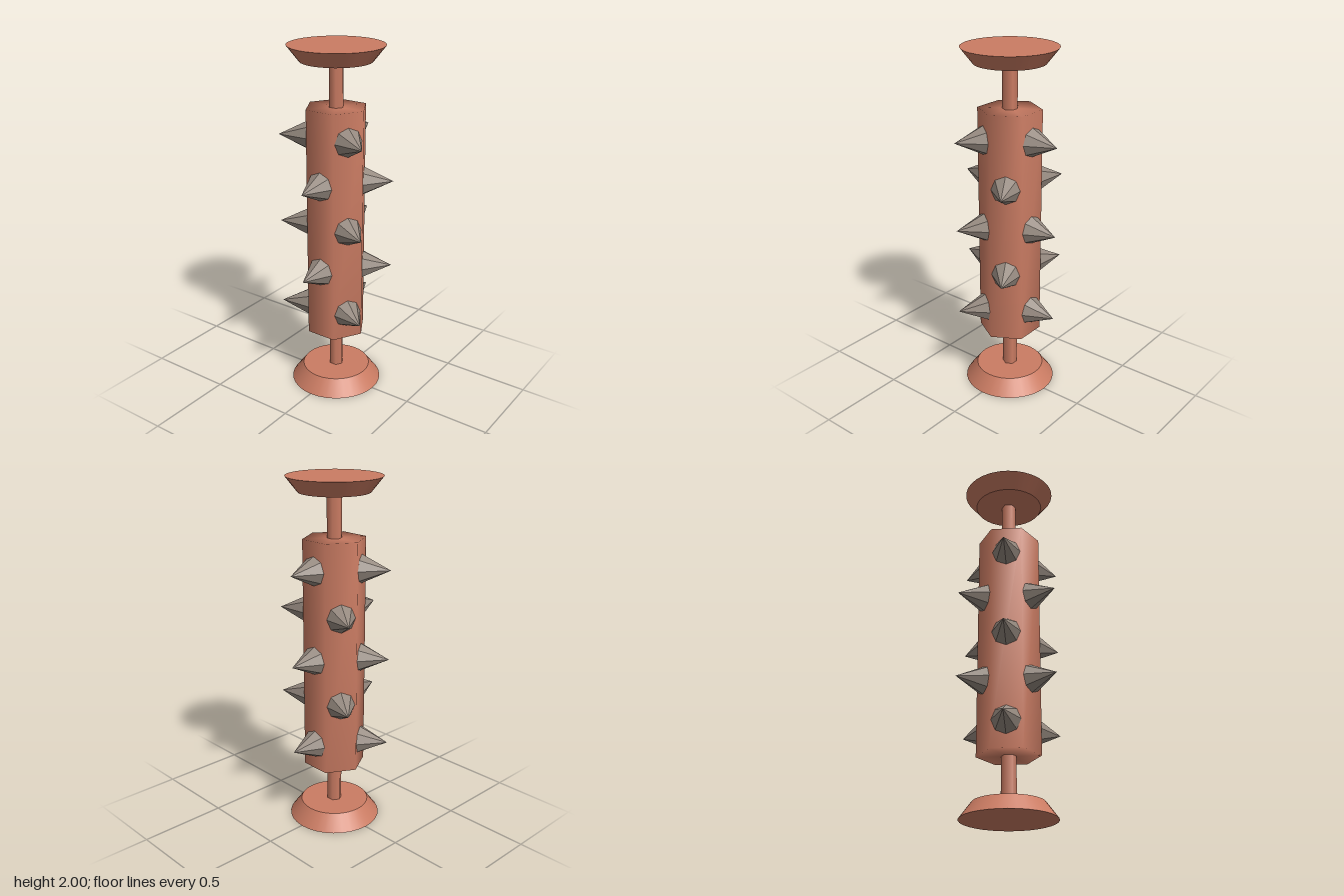
import * as THREE from 'three';
import { mergeVertices } from 'three/addons/utils/BufferGeometryUtils.js';

export function createModel() {
  const group = new THREE.Group();
  const clay = new THREE.MeshStandardMaterial({ color: 0xcb7c63 });
  clay.name = 'terracotta';
  const stone = new THREE.MeshStandardMaterial({ color: 0x968a80 });
  stone.name = 'spikeGrey';

  function add(name, geometry, material, y) {
    const mesh = new THREE.Mesh(geometry, material);
    mesh.name = name;
    mesh.position.y = y;
    group.add(mesh);
    return mesh;
  }

  // Flared round discs at both ends
  add('baseDisc', new THREE.CylinderGeometry(0.196, 0.263, 0.09, 32), clay, 0.045);
  add('topDisc', new THREE.CylinderGeometry(0.263, 0.196, 0.085, 32), clay, 1.9575);

  // Thin six-sided axle joining the discs
  add('axle', new THREE.CylinderGeometry(0.042, 0.042, 1.86, 6, 1, true), clay, 1.0);

  // Six-sided drum, shaded softly across its edges and caps
  let drum = new THREE.CylinderGeometry(0.177, 0.177, 1.33, 6);
  drum.deleteAttribute('normal');
  drum.deleteAttribute('uv');
  drum = mergeVertices(drum);
  drum.computeVertexNormals();
  add('drum', drum, clay, 1.005);

  // Spike pointing along +x, its base resting on a drum face
  const reach = 0.315, face = 0.15;
  const spike = new THREE.ConeGeometry(0.082, reach - face, 8).toNonIndexed();
  spike.rotateZ(-Math.PI / 2);
  spike.translate((reach + face) / 2, 0, 0);
  spike.computeVertexNormals();

  // Five rings of three spikes, alternating between the drum's faces
  [0.495, 0.75, 1.003, 1.258, 1.51].forEach((y, ring) => {
    for (let i = 0; i < 3; i++) {
      const s = add(`spike${ring + 1}_${i + 1}`, spike, stone, y);
      s.rotation.y = (i * 2 + (ring % 2)) * Math.PI / 3;
    }
  });

  group.position.z = -0.002;
  return group;
}
